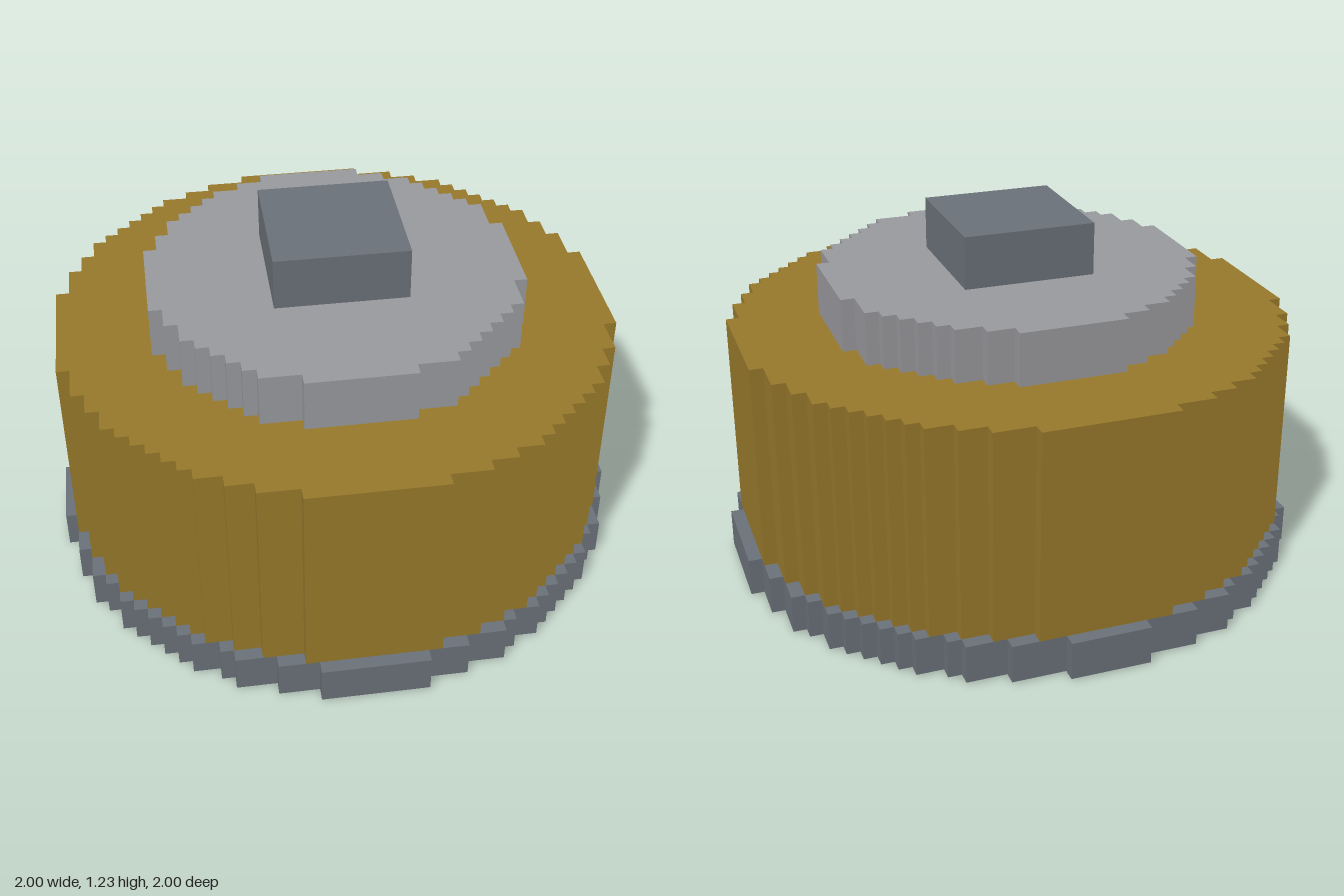
import * as THREE from 'three';
import { mergeGeometries } from 'three/addons/utils/BufferGeometryUtils.js';

const U = 1 / 22; // one block

const steel = new THREE.MeshStandardMaterial({ color: 0x6c727a });
steel.name = 'steel grey';
const silver = new THREE.MeshStandardMaterial({ color: 0x9a9b9f });
silver.name = 'light grey';
const brass = new THREE.MeshStandardMaterial({ color: 0x997a2c });
brass.name = 'brass';
const black = new THREE.MeshStandardMaterial({ color: 0x10101e });
black.name = 'near black';

// Blocky disc: cells within r2 are filled; cells exactly on the `edge`
// distance are filled only on the front and left sides.
function steppedDisc(n, r2, edge, edgeMin, y0, y1) {
  const filled = (x, z) => {
    const d = x * x + z * z;
    const larger = Math.abs(x) > Math.abs(z) ? x : z;
    return d < r2 || (d === edge && larger > edgeMin);
  };
  const left = [], right = [];
  for (let j = -n; j < n; j++) {
    let lo = Infinity, hi = -Infinity;
    for (let i = -n; i < n; i++) {
      if (filled(i + 0.5, j + 0.5)) {
        lo = Math.min(lo, i);
        hi = Math.max(hi, i + 1);
      }
    }
    left.push([lo, j], [lo, j + 1]);
    right.push([hi, j], [hi, j + 1]);
  }
  // Walk the outline, dropping repeated and collinear points
  const loop = [...left, ...right.reverse()];
  const corners = loop.filter((p, k) => {
    const a = loop[(k + loop.length - 1) % loop.length];
    const b = loop[(k + 1) % loop.length];
    const same = p[0] === b[0] && p[1] === b[1];
    return !same && !(a[0] === p[0] && p[0] === b[0]);
  });
  const shape = new THREE.Shape(corners.map(([x, z]) => new THREE.Vector2(x * U, -z * U)));
  const geo = new THREE.ExtrudeGeometry(shape, { depth: y1 - y0, bevelEnabled: false });
  return geo.rotateX(-Math.PI / 2).translate(0, y0, 0);
}

function add(group, name, geometry, material) {
  const mesh = new THREE.Mesh(geometry, material);
  mesh.name = name;
  group.add(mesh);
}

export function createModel() {
  const model = new THREE.Group();
  model.name = 'steppedDrum';
  const plate = 0.004;

  // Stacked discs
  add(model, 'baseRing', steppedDisc(22, 474, 474.5, 21, plate, 3 * U), steel);
  add(model, 'drumBody', steppedDisc(21, 445, 0, 0, 3 * U, 19 * U), brass);
  add(model, 'upperDisc', steppedDisc(14, 197, 198.5, 12, 19 * U, 23 * U), silver);

  // Square cap
  const cap = new THREE.BoxGeometry(10 * U, 4 * U, 10 * U).translate(0, 25 * U, 0);
  add(model, 'topCap', cap, steel);

  // Checkered dark grille on the underside
  const cells = [];
  const k = Math.PI / 1.83;
  for (let i = -18; i < 18; i++) {
    for (let j = -18; j < 18; j++) {
      const x = i + 0.5, z = j + 0.5;
      if (x * x + z * z > 18.2 * 18.2) continue;
      if (Math.sin(k * x) * Math.sin(k * z) < 0.1) continue;
      cells.push(new THREE.BoxGeometry(U, plate, U).translate(x * U, plate / 2, z * U));
    }
  }
  add(model, 'undersideGrille', mergeGeometries(cells), black);

  return model;
}
